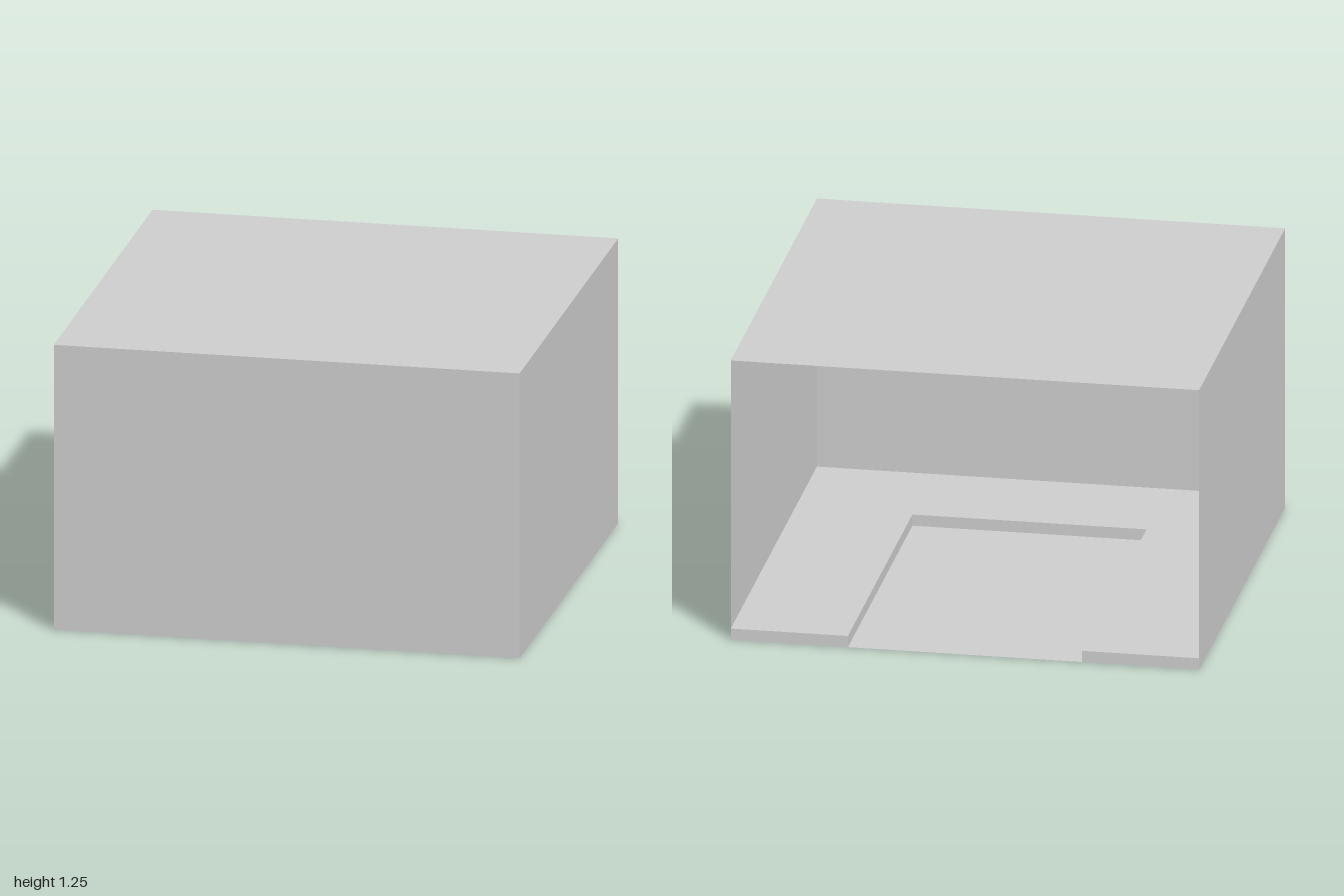
import * as THREE from 'three';

const HALF = 1, HEIGHT = 1.25;         // outer shell
const STEP = 0.05, INNER = 0.5;        // raised ledge height, half width of the sunken floor

export function createModel() {
  const group = new THREE.Group();
  const grey = new THREE.MeshStandardMaterial({ color: 0xcccccc, side: THREE.DoubleSide });
  grey.name = 'light grey';

  const add = (name, geometry, x, y, z, rx = 0, ry = 0) => {
    const mesh = new THREE.Mesh(geometry, grey);
    mesh.name = name;
    mesh.position.set(x, y, z);
    mesh.rotation.set(rx, ry, 0);
    group.add(mesh);
  };
  const panel = (w, h) => new THREE.PlaneGeometry(w, h);
  const quarter = Math.PI / 2;

  // thin shell, open at the back
  add('roof', panel(2, 2), 0, HEIGHT, 0, -quarter);
  add('floor', panel(2, 2), 0, 0, 0, quarter);
  add('frontWall', panel(2, HEIGHT), 0, HEIGHT / 2, HALF);
  for (const s of [1, -1]) {
    const side = s > 0 ? 'left' : 'right';
    add(side + 'Wall', panel(2, HEIGHT), s * HALF, HEIGHT / 2, 0, 0, s * quarter);
    // inner riser along the sunken floor, and the ledge end at the open back
    add(side + 'LedgeRiser', panel(1.5, STEP), s * INNER, STEP / 2, -0.25, 0, -s * quarter);
    add(side + 'LedgeEnd', panel(0.5, STEP), s * 0.75, STEP / 2, -HALF, 0, Math.PI);
  }
  add('frontLedgeRiser', panel(1, STEP), 0, STEP / 2, INNER, 0, Math.PI);

  // U-shaped ledge top around the sunken floor
  const ledge = new THREE.Shape([
    [-1, -1], [1, -1], [1, 1], [INNER, 1], [INNER, -INNER], [-INNER, -INNER], [-INNER, 1], [-1, 1],
  ].map(([x, y]) => new THREE.Vector2(x, y)));
  add('ledgeTop', new THREE.ShapeGeometry(ledge), 0, STEP, 0, -quarter);

  return group;
}
